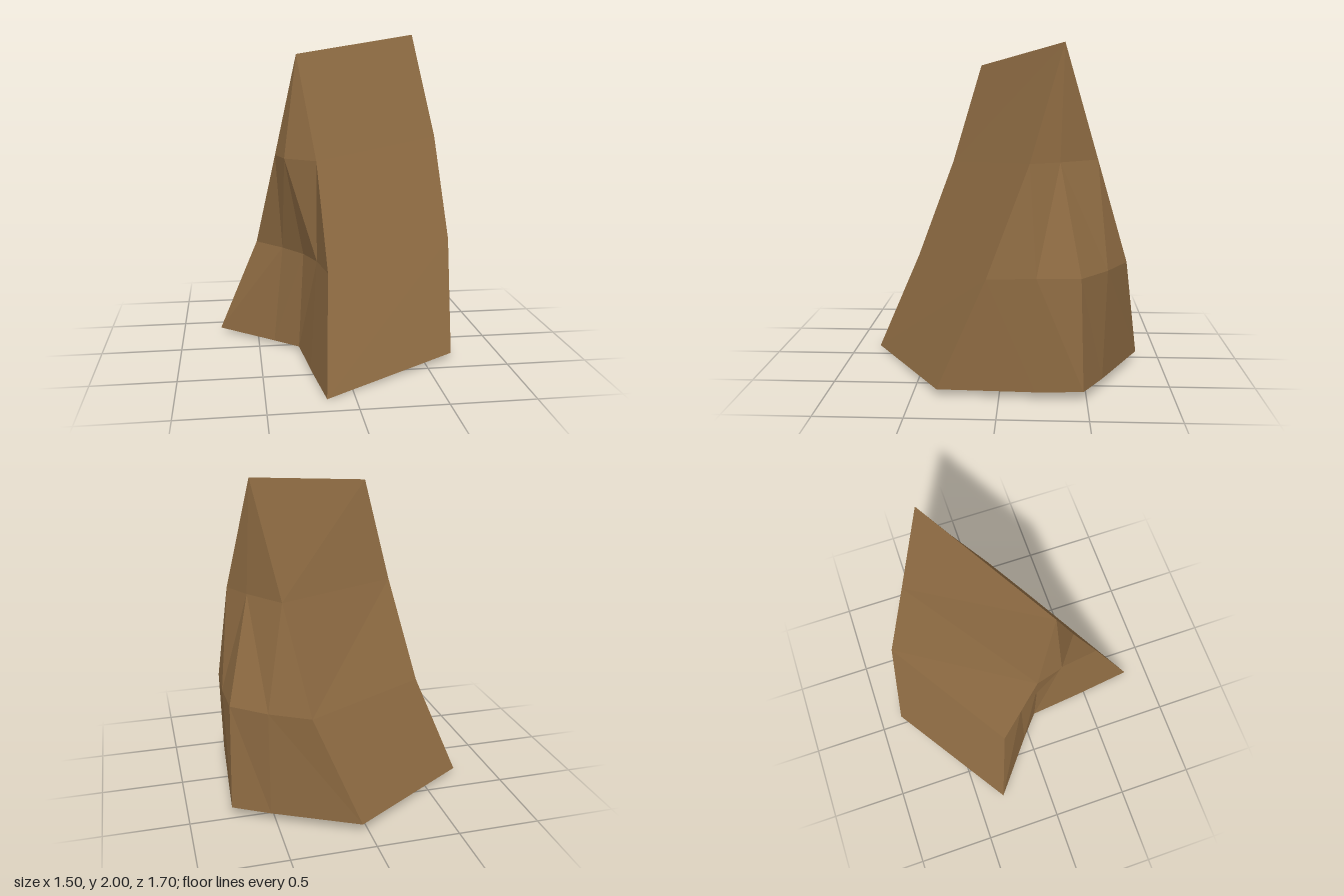
import * as THREE from 'three';

// Each end of the rock: rows of points running from the front edge to the back edge.
const leftEnd = {
  base: [[-0.16, 0, 0.85], [-0.21, 0.01, 0.46], [-0.25, 0.02, 0.09], [-0.4, 0.02, -0.04], [-0.75, 0.025, -0.32]],
  middle: [[-0.12, 0.64, 0.57], [-0.155, 0.64, 0.3], [-0.22, 0.64, 0.11], [-0.34, 0.645, -0.05], [-0.5, 0.65, -0.22]],
  upper: [[-0.16, 1.26, 0.34], [-0.34, 1.26, 0.2], [-0.385, 1.26, 0.03]],
  peak: [-0.26, 1.88, 0.16],
};
const rightEnd = {
  base: [[0.68, 0.035, 0.36], [0.724, 0.045, -0.21], [0.745, 0.06, -0.48], [0.53, 0.057, -0.6], [0.04, 0.055, -0.85]],
  middle: [[0.725, 0.7, 0.07], [0.74, 0.71, -0.21], [0.73, 0.71, -0.46], [0.535, 0.71, -0.62], [0.31, 0.71, -0.75]],
  upper: [[0.68, 1.34, -0.17], [0.59, 1.34, -0.34], [0.43, 1.34, -0.56]],
  peak: [0.56, 2, -0.36],
};

function facetMesh(name, triangles, material) {
  const geometry = new THREE.BufferGeometry();
  geometry.setAttribute('position', new THREE.Float32BufferAttribute(triangles.flat(2), 3));
  geometry.computeVertexNormals();
  const mesh = new THREE.Mesh(geometry, material);
  mesh.name = name;
  return mesh;
}

const quad = (a, b, c, d) => [[a, b, c], [a, c, d]];

// Faceted end wall, wound for the right end and flipped for the left.
function endWall({ base: b, middle: m, upper: u, peak }, flip) {
  const triangles = [];
  for (let i = 0; i < 4; i++) {
    triangles.push([b[i], b[i + 1], m[i]], [b[i + 1], m[i + 1], m[i]]);
  }
  triangles.push(
    [m[0], m[1], u[0]], [m[1], u[1], u[0]], [m[1], m[2], u[1]],
    [m[2], m[3], u[1]], [m[3], u[2], u[1]], [m[3], m[4], u[2]],
    [u[0], u[1], peak], [u[1], u[2], peak],
  );
  return flip ? triangles.map(([p, q, r]) => [p, r, q]) : triangles;
}

// Edge running from the ground to the peak, at the front or the back.
const edge = (end, back) => [
  end.base[back ? 4 : 0], end.middle[back ? 4 : 0], end.upper[back ? 2 : 0], end.peak,
];

// Broad sloping sheet between two edges.
function slope(from, to) {
  const triangles = [];
  for (let i = 0; i < 3; i++) triangles.push(...quad(from[i], to[i], to[i + 1], from[i + 1]));
  return triangles;
}

export function createModel() {
  const group = new THREE.Group();
  group.name = 'rock';
  const stone = new THREE.MeshStandardMaterial({ color: 0x8f6c43, flatShading: true, side: THREE.DoubleSide });
  stone.name = 'brown stone';

  // The shell is open underneath.
  group.add(
    facetMesh('frontSlope', slope(edge(leftEnd, false), edge(rightEnd, false)), stone),
    facetMesh('backSlope', slope(edge(rightEnd, true), edge(leftEnd, true)), stone),
    facetMesh('notchedEnd', endWall(leftEnd, true), stone),
    facetMesh('bulgingEnd', endWall(rightEnd, false), stone),
  );
  return group;
}
